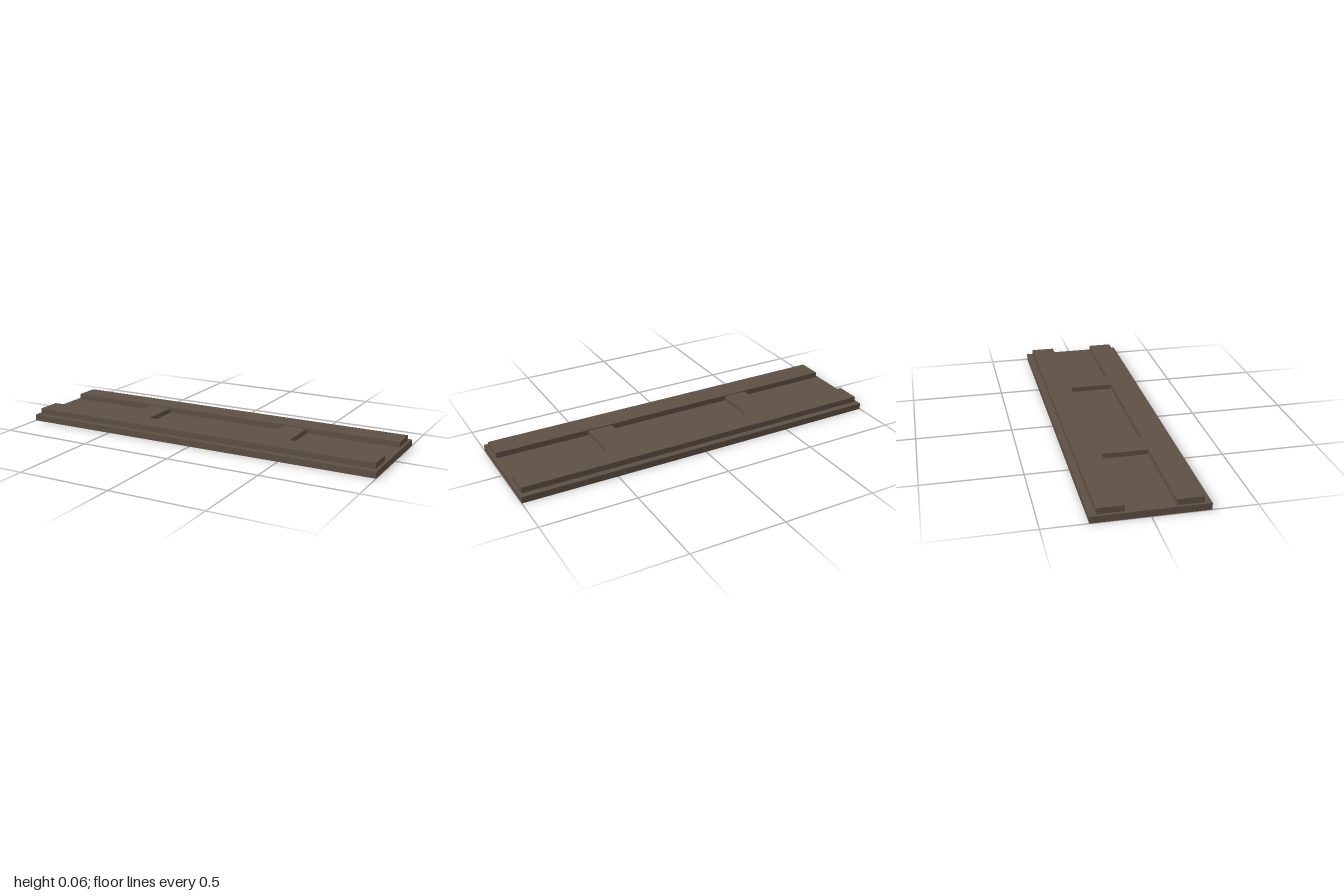
import * as THREE from 'three';

export function createModel() {
  const group = new THREE.Group();
  const darkWood = new THREE.MeshStandardMaterial({ color: 0x5e5044 });

  // Box resting on height y0, reaching y1
  const addBox = (name, width, depth, y0, y1, x, z) => {
    const mesh = new THREE.Mesh(new THREE.BoxGeometry(width, y1 - y0, depth), darkWood);
    mesh.name = name;
    mesh.position.set(x, (y0 + y1) / 2, z);
    group.add(mesh);
  };

  const baseTop = 0.034;
  addBox('basePlank', 2, 0.562, 0, baseTop, 0, 0);

  // Long rails along both sides, and cross blocks between them
  for (const side of [-1, 1]) {
    const sideName = side > 0 ? 'front' : 'back';
    addBox(sideName + 'Rail', 1.972, 0.13, baseTop, 0.064, 0, side * 0.183);
    const endName = side > 0 ? 'left' : 'right';
    addBox(endName + 'CrossBlock', 0.13, 0.236, baseTop, 0.059, side * 0.418, 0);
  }
  return group;
}
